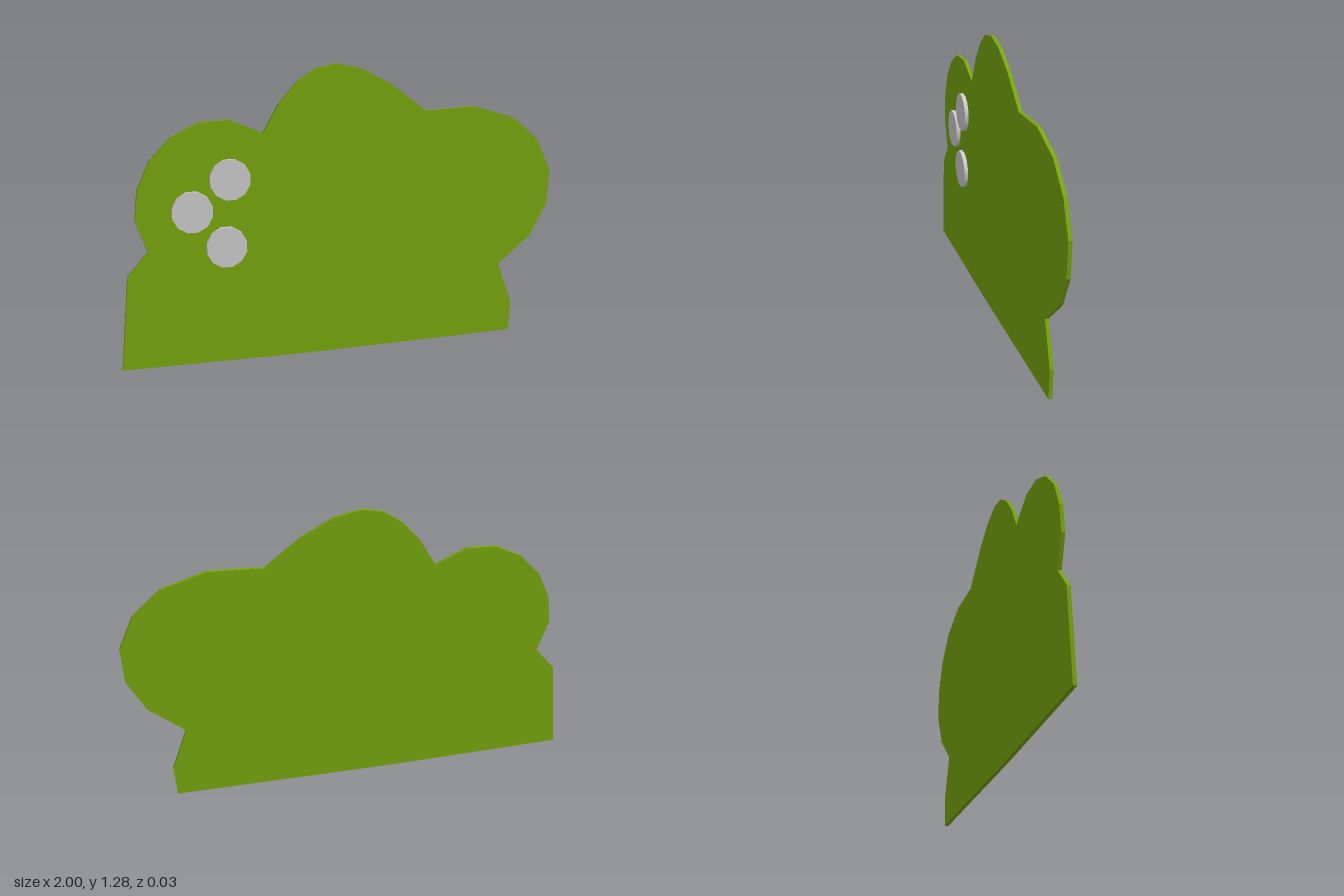
import * as THREE from 'three';

export function createModel() {
  const group = new THREE.Group();
  const leafGreen = new THREE.MeshStandardMaterial({ color: 0x79a80e });
  leafGreen.name = 'leafGreen';
  const flowerGrey = new THREE.MeshStandardMaterial({ color: 0xcecece });
  flowerGrey.name = 'flowerGrey';

  // Flat bush: three rounded lobes above a straight base
  const outline = [
    [-1, 0.01], [-0.24, 0], [-0.04, 0], [0.81, 0.005], [0.82, 0.14], [0.75, 0.33],
    [0.91, 0.46], [0.99, 0.605], [1, 0.76], [0.935, 0.905], [0.81, 1.015],
    [0.615, 1.075], [0.375, 1.065], [0.21, 1.19], [0.075, 1.26], [-0.04, 1.285],
    [-0.135, 1.267], [-0.22, 1.21], [-0.3, 1.12], [-0.37, 1.0], [-0.515, 1.063],
    [-0.645, 1.058], [-0.765, 1.0], [-0.857, 0.905], [-0.912, 0.785],
    [-0.925, 0.655], [-0.875, 0.52], [-0.965, 0.415],
  ].map(([x, y]) => new THREE.Vector2(x, y));
  const bush = new THREE.Mesh(
    new THREE.ExtrudeGeometry(new THREE.Shape(outline), { depth: 0.016, bevelEnabled: false }),
    leafGreen);
  bush.name = 'bush';
  bush.position.z = -0.017;
  group.add(bush);

  // Three flower discs on the front of the left-hand lobe
  const disc = new THREE.CylinderGeometry(0.09, 0.09, 0.018, 12, 1, false, Math.PI / 12);
  disc.rotateX(Math.PI / 2);
  [[-0.52, 0.81], [-0.685, 0.68], [-0.54, 0.518]].forEach(([x, y], i) => {
    const flower = new THREE.Mesh(disc, flowerGrey);
    flower.name = `flowerDisc${i + 1}`;
    flower.position.set(x, y, 0.008);
    group.add(flower);
  });
  return group;
}
